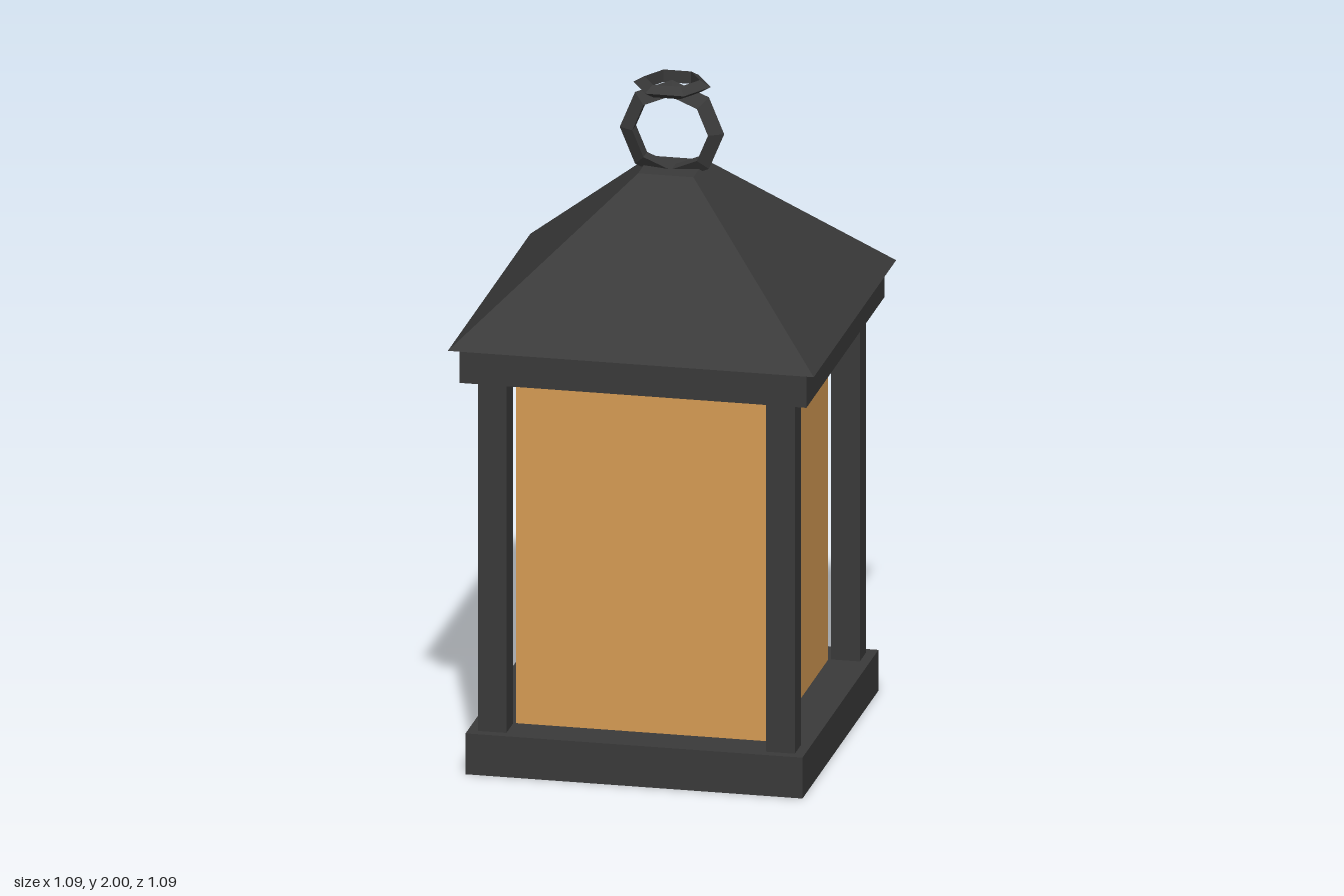
import * as THREE from 'three';

export function createModel() {
  const model = new THREE.Group();
  model.name = 'lantern';

  const iron = new THREE.MeshStandardMaterial({ color: 0x3a3a3a, flatShading: true });
  iron.name = 'dark iron';
  const amber = new THREE.MeshStandardMaterial({ color: 0xd69b54, flatShading: true });
  amber.name = 'amber glass';

  const add = (name, geometry, material, x, y, z) => {
    const mesh = new THREE.Mesh(geometry, material);
    mesh.name = name;
    mesh.position.set(x, y, z);
    model.add(mesh);
    return mesh;
  };
  // Square-section block between two heights
  const block = (name, width, y0, y1, material, x = 0, z = 0) =>
    add(name, new THREE.BoxGeometry(width, y1 - y0, width), material, x, (y0 + y1) / 2, z);

  // Body: base, glass, four corner posts, top frame
  block('base', 1.0, 0, 0.125, iron);
  block('glass', 0.755, 0.125, 1.2, amber);
  for (const sx of [-1, 1]) {
    for (const sz of [-1, 1]) {
      block('cornerPost', 0.085, 0.125, 1.2, iron, sx * 0.428, sz * 0.428);
    }
  }
  block('topFrame', 1.03, 1.2, 1.305, iron);

  // Truncated pyramid roof
  const roof = new THREE.CylinderGeometry(0.082 * Math.SQRT2, 0.543 * Math.SQRT2, 0.425, 4);
  roof.rotateY(Math.PI / 4);
  add('roof', roof, iron, 0, 1.5175, 0);

  // Upright carrying ring, partly sunk into the roof
  add('carryRing', new THREE.TorusGeometry(0.1265, 0.0285, 3, 8), iron, 0, 1.84, 0);

  // Small flat ring on top
  const topRing = new THREE.TorusGeometry(0.093, 0.022, 3, 6);
  topRing.rotateX(Math.PI / 2);
  add('topRing', topRing, iron, 0, 1.981, 0);

  return model;
}
